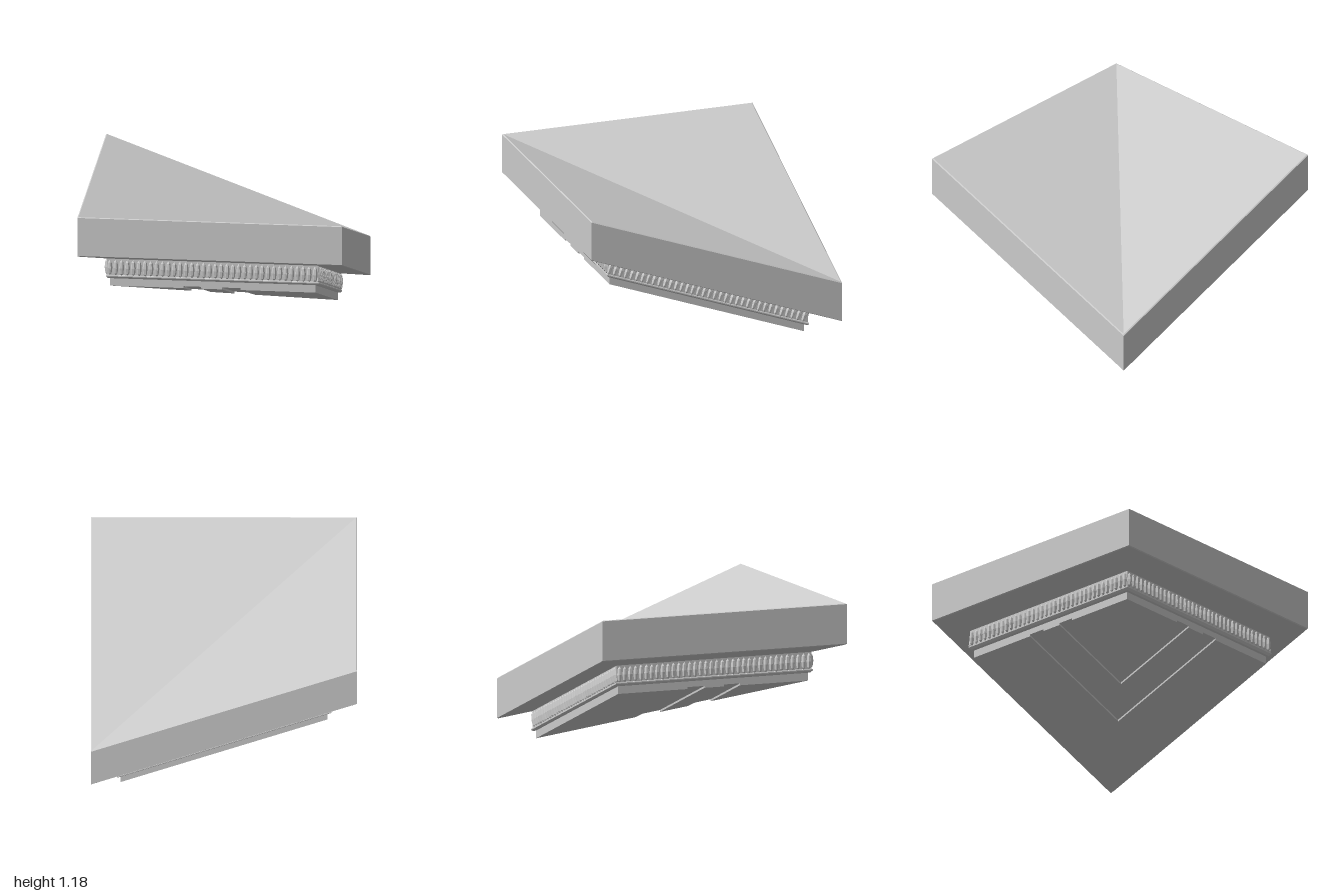
import * as THREE from 'three';
import { mergeGeometries } from 'three/addons/utils/BufferGeometryUtils.js';

const SLOPE = 0.37;
// Height of the valley fold: two planes meeting on the diagonal x = -z
const fold = (x, z) => SLOPE * Math.max(z, -x);

function facets(tris) {
  const geo = new THREE.BufferGeometry();
  geo.setAttribute('position', new THREE.Float32BufferAttribute(tris.flat(2), 3));
  geo.computeVertexNormals();
  return geo;
}

// Folded square slab; profile rows are [half width, height offset] from top to bottom
function foldedSlab(profile) {
  const rings = profile.map(([a, off]) =>
    [[-a, a], [a, a], [a, -a], [-a, -a]].map(([x, z]) => [x, off + fold(x, z), z]));
  const t = rings[0], b = rings[rings.length - 1];
  const tris = [[t[0], t[1], t[2]], [t[0], t[2], t[3]], [b[0], b[2], b[1]], [b[0], b[3], b[2]]];
  for (let r = 0; r < rings.length - 1; r++) {
    for (let i = 0; i < 4; i++) {
      const j = (i + 1) % 4, u = rings[r], d = rings[r + 1];
      tris.push([u[i], d[i], d[j]], [u[i], d[j], u[j]]);
    }
  }
  return facets(tris);
}

// Raised chevron strip on the underside, mirrored across the diagonal
function chevron(t0, t1, a, top, bottom) {
  const half = [[t0, a], [t1, a], [t1, -t1], [t0, -t0]];
  const mirrored = half.map(([x, z]) => [-z, -x]).reverse();
  const tris = [];
  for (const pts of [half, mirrored]) {
    const u = pts.map(([x, z]) => [x, top + fold(x, z), z]);
    const d = pts.map(([x, z]) => [x, bottom + fold(x, z), z]);
    tris.push([d[0], d[2], d[1]], [d[0], d[3], d[2]]);
    for (let i = 0; i < 4; i++) {
      const j = (i + 1) % 4;
      tris.push([u[i], d[i], d[j]], [u[i], d[j], u[j]]);
    }
  }
  return facets(tris);
}

// Row of upright carved beads along all four edges of the band
function beadRows(a, off, count) {
  let seed = 7;
  const rand = () => (seed = (seed * 16807) % 2147483647) / 2147483647;
  const beads = [];
  for (let side = 0; side < 4; side++) {
    for (let i = 0; i < count; i++) {
      const s = -a + (2 * a * (i + 0.5)) / count;
      const [x, z] = [[s, a], [a, s], [s, -a], [-a, s]][side];
      const bead = new THREE.SphereGeometry(1, 6, 4);
      bead.scale(0.019, 0.06 + 0.006 * rand(), 0.016 + 0.008 * rand());
      if (side % 2) bead.rotateY(Math.PI / 2);
      // beads on the sloping sides lean with the slope
      if (side === 1) bead.rotateX(-Math.atan(SLOPE));
      if (side === 2) bead.rotateZ(-Math.atan(SLOPE));
      bead.translate(x, off + fold(x, z), z);
      beads.push(bead);
    }
  }
  return mergeGeometries(beads);
}

export function createModel() {
  const group = new THREE.Group();
  const material = new THREE.MeshStandardMaterial({ color: 0xcccccc, flatShading: true });
  const add = (name, geometry) => {
    const mesh = new THREE.Mesh(geometry, material);
    mesh.name = name;
    group.add(mesh);
  };

  // Thick top slab with slightly eased edges
  add('topSlab', foldedSlab([[0.992, 0.813], [1, 0.806], [1, 0.505], [0.993, 0.5]]));

  // Carved band with a small ledge below it
  add('carvedBand', foldedSlab([[0.798, 0.51], [0.798, 0.372], [0.806, 0.366], [0.806, 0.358], [0.792, 0.346]]));
  add('carvedBeads', beadRows(0.798, 0.43, 36));

  // Lower plate, with grooves left between raised chevron strips
  const a = 0.777;
  add('lowerPlate', foldedSlab([[a, 0.36], [a, 0.302]]));
  const strips = [[-a, -0.22], [-0.09, 0.07], [0.21, a]];
  strips.forEach(([t0, t1], i) => add('raisedStrip' + (i + 1), chevron(t0, t1, a, 0.302, 0.287)));

  return group;
}
